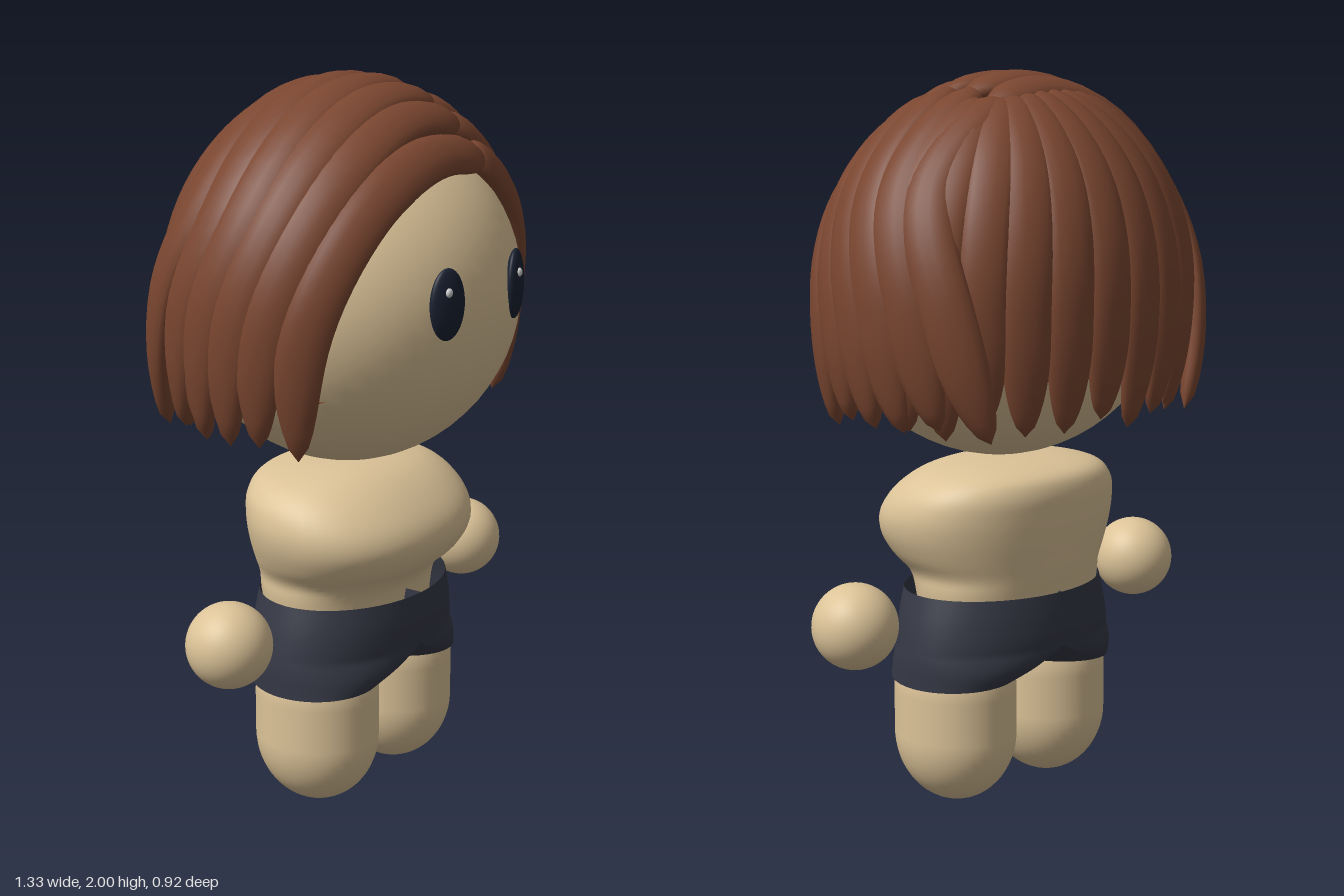
import * as THREE from 'three';

const mat = (color, side = THREE.FrontSide) => new THREE.MeshStandardMaterial({ color, side, roughness: 0.8 });
const skin = mat(0xdcc398), hairMat = mat(0x7a4630, THREE.DoubleSide);
const cloth = mat(0x353845, THREE.DoubleSide), dark = mat(0x182030), white = mat(0xffffff);

function add(parent, name, geometry, material, pos = [0, 0, 0], scale = [1, 1, 1]) {
  const mesh = new THREE.Mesh(geometry, material);
  mesh.name = name;
  mesh.position.set(...pos);
  mesh.scale.set(...scale);
  parent.add(mesh);
  return mesh;
}

// Skin of closed rings: point(t, angle) with t running 0..1 along the part
function loft(rows, sides, point) {
  const pos = [], index = [];
  for (let i = 0; i <= rows; i++) {
    for (let j = 0; j < sides; j++) pos.push(...point(i / rows, (j / sides) * Math.PI * 2));
  }
  for (let i = 0; i < rows; i++) {
    for (let j = 0; j < sides; j++) {
      const a = i * sides + j, b = i * sides + ((j + 1) % sides);
      index.push(a, a + sides, b, b, a + sides, b + sides);
    }
  }
  const g = new THREE.BufferGeometry();
  g.setAttribute('position', new THREE.Float32BufferAttribute(pos, 3));
  g.setIndex(index);
  g.computeVertexNormals();
  return g;
}

// Smooth columns through a small table whose first column is height
function columns(table) {
  const curves = table[0].map((_, k) => new THREE.SplineCurve(table.map((r) => new THREE.Vector2(r[0], r[k]))));
  return (t) => curves.map((c) => c.getPoint(t).y);
}

// Hair shell: an ellipsoid that hangs straighter below its middle
const SHELL = { y: 1.42, rx: 0.53, up: 0.55, down: 0.8, rz: 0.435 };
function onShell(p, lift = 1) {
  const ry = p.y < SHELL.y ? SHELL.down : SHELL.up;
  const q = new THREE.Vector3(p.x / SHELL.rx, (p.y - SHELL.y) / ry, p.z / SHELL.rz).normalize();
  const normal = new THREE.Vector3(q.x / SHELL.rx, q.y / ry, q.z / SHELL.rz).normalize();
  return { p: new THREE.Vector3(q.x * SHELL.rx * lift, SHELL.y + q.y * ry, q.z * SHELL.rz * lift), normal };
}

// One flattened lock lying on the shell, blunt at the root and pointed at the tip
function lock(points, width, thick, lift) {
  const path = new THREE.CatmullRomCurve3(points.map((p) => new THREE.Vector3(...p)));
  const at = (t) => onShell(path.getPoint(t), 1 + lift * t * t);
  return loft(30, 14, (t, a) => {
    const { p, normal } = at(t);
    const along = at(Math.min(1, t + 0.01)).p.sub(at(Math.max(0, t - 0.01)).p).normalize();
    const across = along.cross(normal).normalize();
    const root = Math.sqrt(Math.min(1, t / 0.08)) * (0.75 + 0.25 * Math.min(1, t / 0.4));
    const tip = Math.pow(Math.max(0, 1 - Math.pow(Math.max(0, (t - 0.72) / 0.28), 2)), 0.65);
    const k = root * tip;
    return p.addScaledVector(across, width * k * Math.cos(a))
      .addScaledVector(normal, thick * Math.sqrt(k) * Math.min(1, k * 4) * Math.sin(a)).toArray();
  });
}

function buildHair() {
  const hair = new THREE.Group();
  hair.name = 'hair';

  // Cap under the locks, open at the face and cut level at the nape
  const cap = new THREE.SphereGeometry(0.975, 48, 32, 0, Math.PI * 2, 0, Math.PI * 0.67);
  cap.rotateX(-Math.PI / 2);
  const v = cap.attributes.position;
  for (let i = 0; i < v.count; i++) {
    const ry = v.getY(i) < 0 ? SHELL.down : SHELL.up;
    v.setXYZ(i, v.getX(i) * SHELL.rx, Math.max(1.22, SHELL.y + v.getY(i) * ry), v.getZ(i) * SHELL.rz);
  }
  cap.computeVertexNormals();
  add(hair, 'hairCap', cap, hairMat);

  // Locks fanning down the back from the crown
  const backCount = 12;
  for (let i = 0; i < backCount; i++) {
    const f = (i / (backCount - 1) - 0.5) * 2.6, s = Math.sin(f), c = Math.cos(f);
    const end = 1.08 + 0.025 * Math.sin(i * 2.3);
    add(hair, 'backLock', lock([
      [0.03 + 0.17 * s, 1.95, -0.09 - 0.05 * c], [0.38 * s, 1.76, -0.33 * c],
      [0.53 * s, 1.4, -0.435 * c], [0.49 * s, end, -0.405 * c],
    ], 0.067, 0.03, 0), hairMat);
  }

  // Locks swept from the off-centre parting down both sides
  for (const side of [-1, 1]) {
    for (let i = 0; i < 6; i++) {
      const k = i / 5;
      const z0 = 0.295 - 0.42 * k, z1 = 0.2 - 0.45 * k, end = 1.07 + 0.03 * Math.abs(Math.sin(i * 1.9));
      const top = (x, z) => SHELL.y + SHELL.up * Math.sqrt(1 - (x / SHELL.rx) ** 2 - (z / SHELL.rz) ** 2);
      const fall = (y, z) => {
        const h = (y - SHELL.y) / (y < SHELL.y ? SHELL.down : SHELL.up);
        return [side * SHELL.rx * Math.sqrt(1 - h * h - (z / SHELL.rz) ** 2), y, z];
      };
      const start = side < 0 ? 0.2 : 0.14, zm = z0 * 0.85 + z1 * 0.15;
      const points = [[start, top(start, z0), z0]];
      if (side < 0) points.push([-0.08, top(0.08, z0 + 0.01), z0 + 0.01]);
      points.push(fall(1.7, zm), fall(1.4, z1 + 0.01), fall(end, z1 - 0.03));
      const lift = 0.02 + 0.9 * z1 * z1 + (i === 5 ? 0.05 : 0);
      add(hair, side < 0 ? 'rightLock' : 'leftLock', lock(points, 0.07, 0.034, lift), hairMat);
    }
  }
  return hair;
}

function buildTorso() {
  // height, half width, front z, back z
  const col = columns([
    [0.5, 0.27, 0.19, -0.18], [0.6, 0.285, 0.2, -0.195], [0.65, 0.288, 0.23, -0.205],
    [0.7, 0.32, 0.285, -0.212], [0.76, 0.346, 0.314, -0.22], [0.82, 0.352, 0.3, -0.225],
    [0.88, 0.33, 0.25, -0.225], [0.925, 0.275, 0.19, -0.2], [0.948, 0.18, 0.13, -0.12],
    [0.956, 0.08, 0.07, -0.03], [0.957, 0.001, 0.021, 0.019],
  ]);
  return loft(40, 48, (t, a) => {
    const [y, rx, zf, zb] = col(t);
    const mid = (zf + zb) / 2, s = Math.sin(a), c = Math.cos(a);
    return [rx * Math.sign(c) * Math.abs(c) ** 0.9, y, mid + ((zf - zb) / 2) * Math.sign(s) * Math.abs(s) ** 0.9];
  });
}

// Half of the shorts: half a waist section turning into a round leg opening
function buildShortsHalf() {
  const col = columns([
    [0.35, 0.345, 0.21, -0.16], [0.4, 0.348, 0.24, -0.2], [0.46, 0.342, 0.253, -0.217],
    [0.53, 0.328, 0.257, -0.217], [0.6, 0.308, 0.252, -0.21],
  ]);
  return loft(24, 48, (t, a) => {
    const [y, rx, zf, zb] = col(t);
    const c = Math.cos(a), s = Math.sin(a);
    const leg = THREE.MathUtils.clamp((0.45 - y) / 0.1, 0, 1);
    const x = THREE.MathUtils.lerp(Math.max(0, c) * rx, 0.182 + 0.165 * c, leg);
    const z = (zf + zb) / 2 + ((zf - zb) / 2) * s;
    return [x, y + leg * 0.01 * (1 - c), z];
  });
}

export function createModel() {
  const model = new THREE.Group();
  model.name = 'figure';
  const ball = new THREE.SphereGeometry(1, 48, 32);

  add(model, 'head', ball, skin, [0, 1.418, 0.02], [0.495, 0.46, 0.435]);
  add(model, 'torso', buildTorso(), skin);

  const shorts = buildShortsHalf();
  for (const side of [-1, 1]) {
    const label = side < 0 ? 'right' : 'left';
    // Eye with a small glint
    const eye = add(model, label + 'Eye', ball, dark, [side * 0.16, 1.46, 0.431], [0.055, 0.094, 0.021]);
    eye.rotation.y = side * 0.3;
    add(model, label + 'EyeGlint', ball, white, [side * 0.16 - 0.015, 1.495, 0.45 - side * -0.003], [0.011, 0.012, 0.008]);

    add(model, label + 'Hand', ball, skin, [side * 0.548, 0.566, 0.02], [0.115, 0.115, 0.115]);
    add(model, label + 'Leg', new THREE.CapsuleGeometry(0.162, 0.1, 16, 40), skin,
      [side * 0.178, 0.256, 0.027], [1, 1.2, 1.09]);
    add(model, label + 'Shorts', shorts, cloth, [0, 0, 0], [side, 1, 1]);
  }

  model.add(buildHair());
  return model;
}
